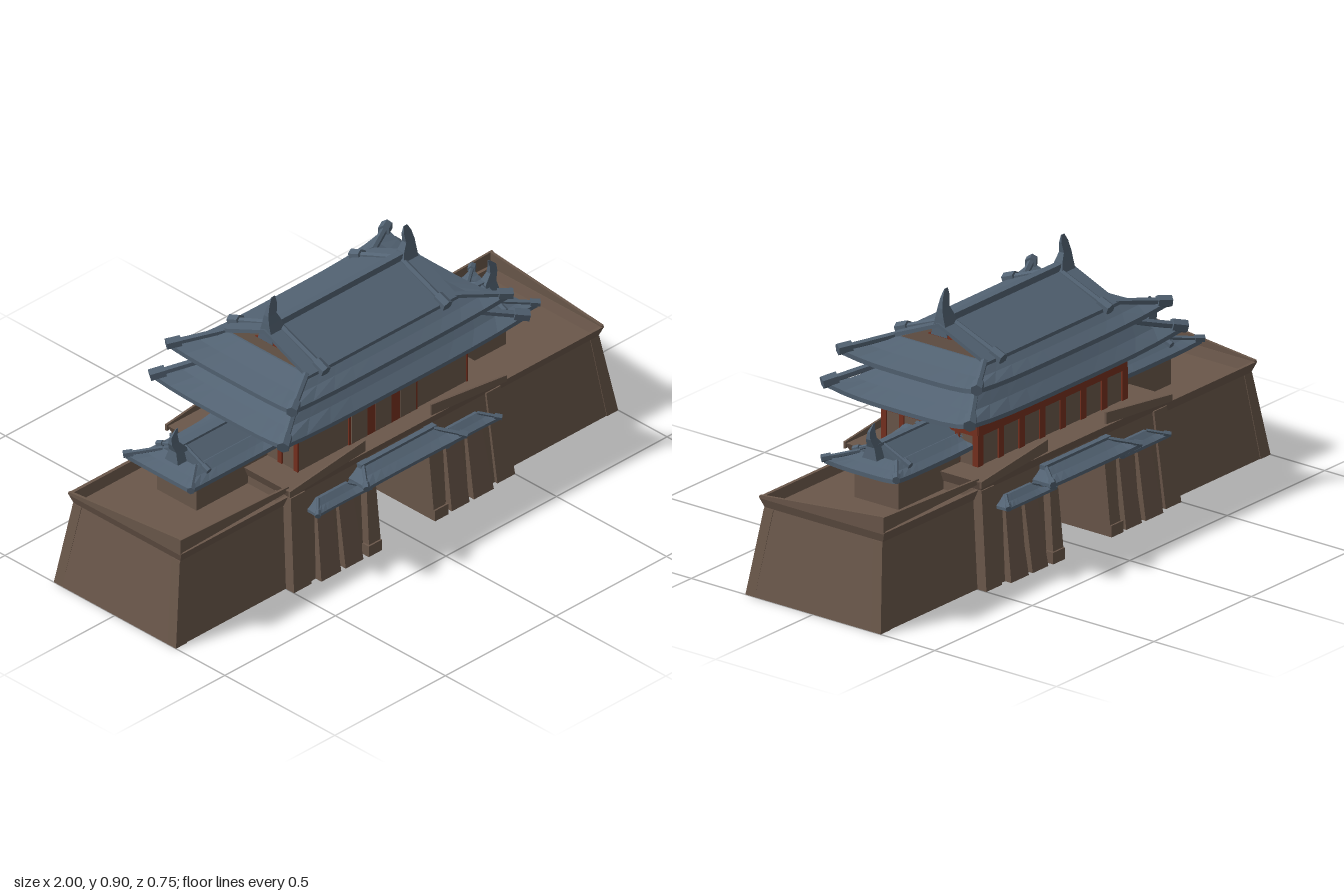
import * as THREE from 'three';

const mat = (name, color) => {
  const m = new THREE.MeshStandardMaterial({ color, side: THREE.DoubleSide });
  m.name = name;
  return m;
};

export function createModel() {
  const root = new THREE.Group();
  root.name = 'gatehouse';
  const wall = mat('earthBrown', 0x6a574a);
  const tile = mat('slateBlue', 0x526272);
  const red = mat('timberRed', 0x76301f);

  const add = (name, geo, m) => {
    const mesh = new THREE.Mesh(geo, m);
    mesh.name = name;
    root.add(mesh);
    return mesh;
  };
  const box = (name, m, x0, x1, y0, y1, z0, z1) =>
    add(name, new THREE.BoxGeometry(Math.abs(x1 - x0), y1 - y0, Math.abs(z1 - z0))
      .translate((x0 + x1) / 2, (y0 + y1) / 2, (z0 + z1) / 2), m);

  // Rectangular ring, anticlockwise from above, with optional upswept corners
  const ring = (xa, xb, za, zb, y, lift = 0, flare = 0, n = 1) => {
    const x0 = Math.min(xa, xb), x1 = Math.max(xa, xb), z0 = Math.min(za, zb), z1 = Math.max(za, zb);
    const c = [[x0, z1], [x1, z1], [x1, z0], [x0, z0]], pts = [];
    const cx = (x0 + x1) / 2, cz = (z0 + z1) / 2;
    for (let s = 0; s < 4; s++) for (let i = 0; i < n; i++) {
      const t = i / n, a = c[s], b = c[(s + 1) % 4], k = Math.pow(Math.abs(2 * t - 1), 4);
      const x = a[0] + (b[0] - a[0]) * t, z = a[1] + (b[1] - a[1]) * t;
      pts.push([x + Math.sign(x - cx) * flare * k, y + lift * k, z + Math.sign(z - cz) * flare * k]);
    }
    return pts;
  };
  // Flat-faced skin over rings, optionally capped on the last ring
  const loft = (name, m, rings, cap = true) => {
    const p = [], n = rings[0].length;
    for (let r = 0; r + 1 < rings.length; r++) for (let j = 0; j < n; j++) {
      const k = (j + 1) % n, a = rings[r][j], b = rings[r][k], c = rings[r + 1][k], d = rings[r + 1][j];
      p.push(...a, ...b, ...c, ...a, ...c, ...d);
    }
    const top = rings[rings.length - 1];
    if (cap) for (let j = 1; j + 1 < n; j++) p.push(...top[0], ...top[j], ...top[j + 1]);
    const g = new THREE.BufferGeometry();
    g.setAttribute('position', new THREE.Float32BufferAttribute(p, 3));
    g.computeVertexNormals();
    return add(name, g, m);
  };
  const panel = (pts, depth) => new THREE.ExtrudeGeometry(
    new THREE.Shape(pts.map(([x, y]) => new THREE.Vector2(x, y))), { depth, bevelEnabled: false });
  // Round ridge between two points, with a thicker end tile at b
  const ridge = (name, a, b, r) => {
    const A = new THREE.Vector3(...a), B = new THREE.Vector3(...b), dir = B.clone().sub(A).normalize();
    const rod = (p, q, rad) => {
      const mesh = add(name, new THREE.CylinderGeometry(rad, rad, p.distanceTo(q), 6).toNonIndexed(), tile);
      mesh.geometry.computeVertexNormals();
      mesh.position.copy(p).add(q).multiplyScalar(0.5);
      mesh.quaternion.setFromUnitVectors(new THREE.Vector3(0, 1, 0), dir);
    };
    rod(A, B, r);
    rod(B.clone().addScaledVector(dir, -r * 3), B.clone().addScaledVector(dir, r), r * 1.7);
  };
  // Curved hipped skirt: e = eave [x0,x1,z0,z1,y], t = top, u = soffit foot
  const skirtRoof = (name, e, t, u, lift, flare, thick, r) => {
    const N = 10, mid = e.map((v, i) => (v + t[i]) / 2);
    mid[4] -= (t[4] - e[4]) * 0.08;
    const low = ring(e[0], e[1], e[2], e[3], e[4] - thick, lift, flare, N);
    loft(name, tile, [low, ring(...e, lift, flare, N), ring(...mid, lift * 0.2, 0, N), ring(...t, 0, 0, N)]);
    loft(name + 'Soffit', red, [ring(...u, 0, 0, N), low], false);
    for (const i of [0, 1]) for (const j of [2, 3]) {
      const sx = i ? 1 : -1, sz = j === 3 ? 1 : -1;
      ridge(name + 'HipRidge', [t[i], t[4], t[j]],
        [e[i] + sx * flare, e[4] + lift + r * 0.3, e[j] + sz * flare], r);
    }
  };
  // Upright horn on a ridge end, rows of [y, x offset, half x, half z]
  const horn = (name, x, z, s, rows) => loft(name, tile, rows.map(([y, dx, hx, hz]) =>
    ring(x + s * dx - hx, x + s * dx + hx, z - hz, z + hz, y)));

  for (const s of [-1, 1]) {
    // Battered wings, hollow below, with low rims
    loft('wingWall', wall, [ring(s * 0.44, s, -0.275, 0.275, 0), ring(s * 0.44, s * 0.945, -0.24, 0.24, 0.295)]);
    loft('wingRim', wall, [ring(s * 0.44, s * 0.945, -0.243, 0.243, 0.293), ring(s * 0.44, s * 0.957, -0.258, 0.258, 0.33),
      ring(s * 0.45, s * 0.945, -0.246, 0.246, 0.33), ring(s * 0.45, s * 0.935, -0.235, 0.235, 0.296)], false);
    for (const z of [-1, 1])
      loft('wingCorner', wall, [ring(s * 0.95, s * 1.0, z * 0.24, z * 0.278, 0),
        ring(s * 0.91, s * 0.948, z * 0.205, z * 0.243, 0.293)]);
    // Raised sloping parapets, high at diagonally opposite corners
    add('wingParapet', panel([[s * 0.47, 0.35], [s * 0.96, 0.335], [s * 0.96, 0.385], [s * 0.47, 0.368]], 0.008)
      .translate(0, 0, -s * 0.254 - 0.004), wall);
    add('endParapet', panel([[s * 0.255, 0.325], [-s * 0.255, 0.325], [-s * 0.255, 0.385], [s * 0.255, 0.335]], 0.01)
      .rotateY(-Math.PI / 2).translate(s * 0.952 + 0.005, 0, 0), wall);

    // Centre base on each side of the passage, with corner buttresses
    loft('gateBase', wall, [ring(s * 0.12, s * 0.49, -0.3, 0.3, 0), ring(s * 0.12, s * 0.465, -0.262, 0.262, 0.35)]);
    for (const z of [-1, 1]) {
      loft('buttress', wall, [ring(s * 0.42, s * 0.5, z * 0.2, z * 0.312, 0), ring(s * 0.41, s * 0.475, z * 0.2, z * 0.272, 0.33)]);
      loft('gateJamb', wall, [ring(s * 0.12, s * 0.175, z * 0.2, z * 0.328, 0), ring(s * 0.12, s * 0.16, z * 0.2, z * 0.298, 0.28)]);
      box('jambFoot', wall, s * 0.12, s * 0.18, 0, 0.04, z * 0.3, z * 0.33);
      for (const [a, b, c, d] of [[0.2, 0.28, 0.21, 0.275], [0.3, 0.39, 0.305, 0.37]])
        loft('gatePilaster', wall, [ring(s * a, s * b, z * 0.2, z * 0.326, 0), ring(s * c, s * d, z * 0.2, z * 0.285, 0.25)]);
      // Side porch roofs and front parapet beams
      const q = [s * 0.185, s * 0.4].sort((a, b) => a - b), zz = [z * 0.2, z * 0.32].sort((a, b) => a - b);
      const w = [z * 0.255, z * 0.28].sort((a, b) => a - b);
      skirtRoof('sidePorchRoof', [...q, ...zz, 0.257], [q[0] + 0.04, q[1] - 0.04, ...w, 0.283],
        [q[0] + 0.03, q[1] - 0.03, ...w, 0.235], 0.008, 0.012, 0.01, 0.006);
      add('gateParapet', panel([[s * 0.49, 0.345], [s * 0.15, 0.37], [s * 0.15, 0.41], [s * 0.49, 0.368]], 0.008)
        .translate(0, 0, z * 0.28 - 0.004), wall);
    }

    // Wing pavilions
    const m = (a, b) => [s * a, s * b].sort((p, q) => p - q), zc = -0.02;
    box('pavilionBody', wall, s * 0.37, s * 0.7, 0.295, 0.42, zc - 0.09, zc + 0.09);
    skirtRoof('pavilionRoof', [...m(0.37, 0.77), zc - 0.135, zc + 0.135, 0.425], [...m(0.38, 0.69), zc - 0.075, zc + 0.075, 0.455],
      [...m(0.38, 0.7), zc - 0.09, zc + 0.09, 0.41], 0.014, 0.014, 0.015, 0.008);
    loft('pavilionRoofTop', tile, [ring(...m(0.38, 0.69), zc - 0.075, zc + 0.075, 0.453),
      ring(...m(0.38, 0.69), zc - 0.008, zc + 0.008, 0.495)]);
    box('pavilionRidge', tile, s * 0.38, s * 0.7, 0.485, 0.502, zc - 0.01, zc + 0.01);
    for (const z of [-1, 1]) ridge('pavilionRidge', [s * 0.67, 0.495, zc], [s * 0.67, 0.447, zc + z * 0.11], 0.007);
    horn('pavilionHorn', s * 0.7, zc + 0.005, s, [[0.455, 0, 0.03, 0.03], [0.495, 0, 0.024, 0.016],
      [0.525, 0.02, 0.016, 0.009], [0.55, 0.02, 0.014, 0.005], [0.572, 0.005, 0.004, 0.001]]);
  }

  // Lintel and deck over the passage
  loft('gateLintel', wall, [ring(-0.13, 0.13, -0.29, 0.29, 0.24), ring(-0.13, 0.13, -0.262, 0.262, 0.35)]);
  box('passageCeiling', wall, -0.13, 0.13, 0.24, 0.25, -0.275, 0.275);
  loft('gateDeck', wall, [ring(-0.47, 0.47, -0.265, 0.265, 0.325), ring(-0.485, 0.485, -0.282, 0.282, 0.362)]);
  for (const z of [-1, 1]) {
    const zz = [z * 0.2, z * 0.35].sort((a, b) => a - b), w = [z * 0.255, z * 0.285].sort((a, b) => a - b);
    skirtRoof('middlePorchRoof', [-0.21, 0.21, ...zz, 0.288], [-0.16, 0.16, ...w, 0.318],
      [-0.17, 0.17, ...w, 0.262], 0.01, 0.014, 0.012, 0.007);
    box('porchRidge', tile, -0.17, 0.17, 0.308, 0.326, z * 0.265, z * 0.288);
  }

  // Main hall
  const C = 0.015;
  box('hallBody', wall, -0.38, 0.38, 0.355, 0.54, C - 0.195, C + 0.195);
  box('upperHallBody', wall, -0.385, 0.385, 0.58, 0.66, C - 0.185, C + 0.185);
  // Red timber framing
  box('frontScreen', red, -0.155, 0.155, 0.36, 0.515, C + 0.194, C + 0.2);
  for (const x of [-0.11, 0, 0.11]) box('frontDoorPanel', wall, x - 0.035, x + 0.035, 0.365, 0.475, C + 0.199, C + 0.203);
  box('rearBeam', red, -0.382, 0.382, 0.465, 0.515, C - 0.2, C - 0.194);
  for (let i = 0; i < 8; i++) {
    const x = -0.37 + i * 0.74 / 7;
    box('rearColumn', red, x - 0.014, x + 0.014, 0.36, 0.47, C - 0.2, C - 0.194);
  }
  for (const s of [-1, 1]) {
    box('sideBeam', red, s * 0.379, s * 0.385, 0.465, 0.515, C - 0.198, C + 0.198);
    for (const z of [-0.188, -0.115, 0, 0.115, 0.188])
      box('sideColumn', red, s * 0.379, s * 0.385, 0.36, 0.47, C + z - 0.01, C + z + 0.01);
  }
  box('upperFrieze', red, -0.39, 0.39, 0.634, 0.648, C - 0.19, C + 0.19);

  // Two tiers of sweeping eaves
  skirtRoof('lowerRoof', [-0.53, 0.53, C - 0.28, C + 0.28, 0.555], [-0.4, 0.4, C - 0.2, C + 0.2, 0.625],
    [-0.385, 0.385, C - 0.198, C + 0.198, 0.505], 0.027, 0.016, 0.015, 0.013);
  skirtRoof('upperRoof', [-0.475, 0.475, C - 0.265, C + 0.265, 0.66], [-0.335, 0.335, C - 0.185, C + 0.185, 0.708],
    [-0.39, 0.39, C - 0.19, C + 0.19, 0.64], 0.022, 0.014, 0.016, 0.012);

  // Gabled top: two slopes, gable ends and ridges
  for (const z of [-1, 1])
    add('gableSlope', panel([[z * 0.2, 0.695], [0, 0.782], [0, 0.795], [z * 0.2, 0.71]], 0.68)
      .rotateY(-Math.PI / 2).translate(0.34, 0, C), tile);
  for (const s of [-1, 1]) {
    add('gableEnd', panel([[-0.18, 0.7], [0.18, 0.7], [0, 0.783]], 0.006)
      .rotateY(-Math.PI / 2).translate(s * 0.325 + 0.003, 0, C), wall);
    add('gableCrest', panel([[-0.05, 0.748], [0.05, 0.748], [0, 0.775]], 0.006)
      .rotateY(-Math.PI / 2).translate(s * 0.33 + 0.003, 0, C), red);
    for (const z of [-1, 1]) ridge('gableRidge', [s * 0.275, 0.79, C], [s * 0.275, 0.71, C + z * 0.205], 0.012);
    horn('ridgeHorn', s * 0.3, C, s, [[0.75, 0, 0.035, 0.034], [0.775, 0, 0.034, 0.027], [0.815, 0.005, 0.028, 0.016],
      [0.845, 0.012, 0.019, 0.01], [0.88, 0.004, 0.017, 0.005], [0.905, -0.001, 0.008, 0.001]]);
  }
  box('mainRidge', tile, -0.31, 0.31, 0.775, 0.812, C - 0.013, C + 0.013);

  return root;
}
